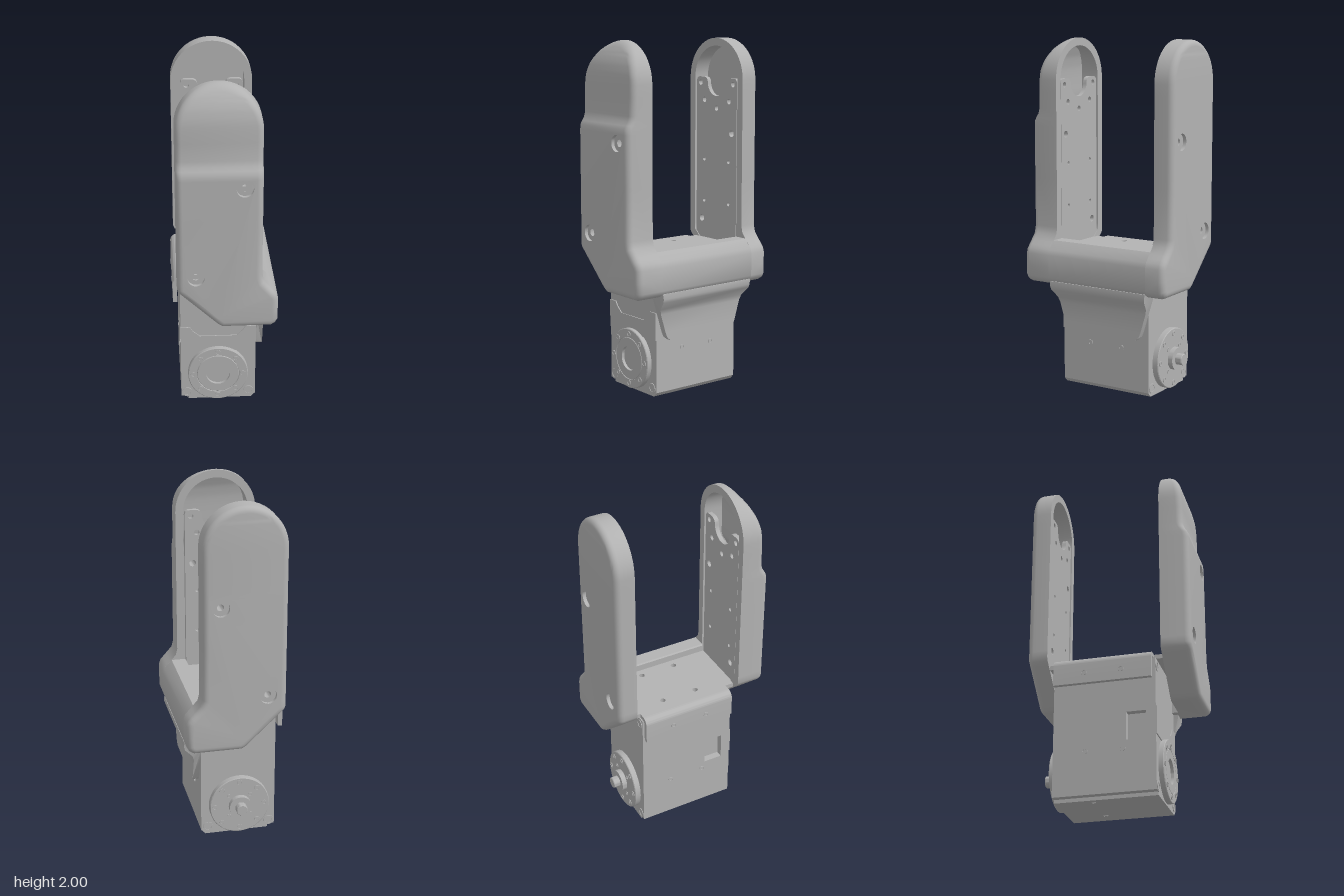
import * as THREE from 'three';
import { toCreasedNormals } from 'three/addons/utils/BufferGeometryUtils.js';

const grey = new THREE.MeshStandardMaterial({ color: 0xb2b2b2, side: THREE.DoubleSide });
grey.name = 'plain grey';

const CX = -0.035, ARC_Y = 1.765, ARC_R = 0.235, AXIS_Y = 0.185;
const SCREWS = [[0.1, 1.45], [-0.165, 0.92]];

function add(parent, name, geo, x = 0, y = 0, z = 0) {
  const mesh = new THREE.Mesh(toCreasedNormals(geo, 0.6), grey);
  mesh.name = name;
  mesh.position.set(x, y, z);
  parent.add(mesh);
  return mesh;
}

// straight-line lookup through [key, value] pairs
function lerpTable(table, k) {
  for (let i = 1; i < table.length; i++) {
    const [a, va] = table[i - 1], [b, vb] = table[i];
    if (k <= b) return va + (vb - va) * Math.max(0, (k - a) / (b - a));
  }
  return table[table.length - 1][1];
}

const polygon = pts => new THREE.Shape(pts.map(p => new THREE.Vector2(...p)));
const circle = (x, y, r, n = 20) => Array.from({ length: n }, (_, i) =>
  new THREE.Vector2(x + r * Math.cos(i / n * 2 * Math.PI), y + r * Math.sin(i / n * 2 * Math.PI)));
const punch = (shape, x, y, r) => shape.holes.push(new THREE.Path(circle(x, y, r)));
const extrude = (shape, depth) => new THREE.ExtrudeGeometry(shape, { depth, bevelEnabled: false, curveSegments: 10 });

// lathe profile [radius, height] pointing along dir
function turned(parent, name, profile, pos, dir, segments = 20) {
  const geo = new THREE.LatheGeometry(profile.map(p => new THREE.Vector2(...p)), segments);
  const mesh = add(parent, name, geo, ...pos);
  mesh.quaternion.setFromUnitVectors(new THREE.Vector3(0, 1, 0), new THREE.Vector3(...dir));
}
const bolt = (parent, pos, dir, r = 0.016) => turned(parent, 'bolt',
  [[r, -0.002], [r, 0.004], [r * 0.65, 0.004], [r * 0.65, 0.001], [0, 0.001]], pos, dir, 16);

// cover outline, as left and right points at the same heights
const LEFT = [[0.6, -0.02], [0.615, -0.045], [0.82, -0.262], [0.84, -0.27]];
const RIGHT = [[0.6, 0.25], [0.615, 0.276], [0.64, 0.29], [0.77, 0.29], [0.8, 0.28], [0.88, 0.21], [0.92, 0.2]];
const ROWS = [0.6, 0.615, 0.64, 0.7, 0.77, 0.8, 0.82, 0.84, 0.88, 0.92, 1.2, 1.5, 1.53, 1.55, 1.57, 1.6, 1.7];
const FLAT_ROW = 11;
for (let i = 0; i <= 12; i++) ROWS.push(ARC_Y + ARC_R * Math.sin(i / 12 * 1.53));
const arcX = y => Math.sqrt(ARC_R ** 2 - (y - ARC_Y) ** 2);
const leftX = y => y > ARC_Y ? CX - arcX(y) : lerpTable(LEFT, y);
const rightX = y => y > ARC_Y ? CX + arcX(y) : lerpTable(RIGHT, y);
const OUTLINE = [...ROWS.map(y => new THREE.Vector2(leftX(y), y)),
  ...ROWS.map(y => new THREE.Vector2(rightX(y), y)).reverse()];

function inset(d) {
  const n = OUTLINE.length;
  return OUTLINE.map((p, i) => {
    const e = p.clone().sub(OUTLINE[(i + n - 1) % n]).normalize();
    const f = OUTLINE[(i + 1) % n].clone().sub(p).normalize();
    const a = new THREE.Vector2(e.y, -e.x), b = new THREE.Vector2(f.y, -f.x);
    const m = a.clone().add(b).normalize();
    return p.clone().addScaledVector(m, d / Math.max(0.6, m.dot(a)));
  });
}

// hollow cover: pocket, rim, wall and rounded outer edge lofted as rings
function cover(parent, name, side, rim, depth, bore) {
  const pos = [], n = OUTLINE.length, R = 0.035;
  const tri = (a, b, c) => (side > 0 ? [a, b, c] : [a, c, b]).forEach(p => pos.push(p.x, p.y, side * p.z));
  const quad = (a, b, c, d) => { tri(a, b, c); tri(b, d, c); };
  const ring = (pts, zOf) => pts.map(p => new THREE.Vector3(p.x, p.y, zOf(p.y)));
  const pocket = inset(0.045).map(p => new THREE.Vector2(Math.min(p.x, 0.155), Math.max(p.y, 0.78)));
  const floorZ = y => Math.max(rim + 0.03, depth(y) - 0.02);
  const rings = [ring(pocket, floorZ), ring(pocket, () => rim), ring(OUTLINE, () => rim)];
  for (let i = 0; i <= 5; i++) {
    const t = i / 5 * Math.PI / 2;
    rings.push(ring(inset(R * (1 - Math.cos(t))), y => depth(y) - R * (1 - Math.sin(t))));
  }
  for (let k = 1; k < rings.length; k++) for (let j = 0; j < n; j++) {
    const A = rings[k - 1], B = rings[k], j1 = (j + 1) % n;
    quad(A[j], B[j], A[j1], B[j1]);
  }
  // end face: flat punched part below, strips following the depth above
  const cap = (pts, holeR, up) => {
    const put = (a, b, c) => {
      const area = (b.x - a.x) * (c.y - a.y) - (b.y - a.y) * (c.x - a.x);
      if ((area > 0) === up) tri(a, b, c); else tri(a, c, b);
    };
    const contour = [...pts.slice(0, FLAT_ROW + 1), ...pts.slice(n - 1 - FLAT_ROW)];
    const holes = SCREWS.map(([x, y]) => circle(x, y, holeR).map(p => new THREE.Vector3(p.x, p.y, pts[0].z)));
    const all = [...contour, ...holes.flat()];
    THREE.ShapeUtils.triangulateShape(contour, holes).forEach(f => put(...f.map(i => all[i])));
    for (let i = FLAT_ROW; i < ROWS.length - 1; i++) {
      const a = pts[i], b = pts[i + 1], c = pts[n - 1 - i], d = pts[n - 2 - i];
      put(a, c, b); put(b, c, d);
    }
  };
  cap(rings[0], 0.02, false);
  cap(rings[rings.length - 1], 0.047, true);
  const geo = new THREE.BufferGeometry();
  geo.setAttribute('position', new THREE.Float32BufferAttribute(pos, 3));
  add(parent, name, geo);
  const top = depth(1);
  SCREWS.forEach(([x, y]) => turned(parent, 'screwRecess',
    [[0.047, 0], [0.047, -bore], [0.02, -bore], [0.02, rim + 0.02 - top]], [x, y, side * top], [0, 0, side]));
}

// upright bracket sheet with notched top
function bracketSheet(parent, z) {
  const s = new THREE.Shape();
  s.moveTo(-0.215, 0.78); s.lineTo(0.145, 0.78); s.lineTo(0.145, 1.74);
  s.quadraticCurveTo(0.145, 1.77, 0.115, 1.77); s.lineTo(0.085, 1.77);
  s.quadraticCurveTo(0.05, 1.77, 0.045, 1.74);
  s.absarc(CX, 1.74, 0.08, 0, Math.PI, true);
  s.quadraticCurveTo(-0.12, 1.77, -0.155, 1.77); s.lineTo(-0.185, 1.77);
  s.quadraticCurveTo(-0.215, 1.77, -0.215, 1.74);
  SCREWS.forEach(([x, y]) => punch(s, x, y, 0.02));
  [-1, 1].forEach(m => {
    punch(s, CX + m * 0.145, 1.735, 0.016);
    punch(s, CX + m * 0.11, 1.635, 0.016);
    punch(s, CX + m * 0.11, 1.28, 0.011);
    punch(s, CX + m * 0.11, 1.03, 0.011);
  });
  punch(s, CX, 1.59, 0.016);
  add(parent, 'bracketSheet', extrude(s, 0.025), 0, 0, z);
}

function bracket(parent) {
  bracketSheet(parent, 0.305);
  bracketSheet(parent, -0.38);
  // base sheet
  const base = polygon([[-0.215, -0.355], [0.15, -0.355], [0.15, 0.305], [-0.215, 0.305],
    [-0.215, 0.25], [-0.25, 0.25], [-0.25, -0.305], [-0.215, -0.305]]);
  for (const x of [-0.165, 0.1]) for (const z of [-0.135, 0.075]) punch(base, x, z, 0.016);
  add(parent, 'bracketBase', extrude(base, 0.025).rotateX(Math.PI / 2), 0, 0.805, 0);
  // bent flap
  const flap = new THREE.Shape();
  flap.moveTo(-0.25, 0.805);
  flap.absarc(-0.25, 0.765, 0.04, Math.PI / 2, Math.PI, false);
  flap.lineTo(-0.29, 0.65); flap.lineTo(-0.265, 0.65); flap.lineTo(-0.265, 0.765);
  flap.absarc(-0.25, 0.765, 0.015, Math.PI, Math.PI / 2, true);
  add(parent, 'bracketFlap', extrude(flap, 0.555), 0, 0, -0.305);
  for (const z of [-0.13, 0.08]) bolt(parent, [-0.29, 0.71, z], [-1, 0, 0]);
  // cross bar joining the covers
  const bar = polygon([[0.148, 0.6], [0.25, 0.6], [0.276, 0.615], [0.29, 0.64], [0.29, 0.77], [0.28, 0.8],
    [0.235, 0.85], [0.155, 0.85], [0.148, 0.843]]);
  add(parent, 'crossBar', extrude(bar, 0.65), 0, 0, -0.35);
  // tapering skirt
  const skirt = polygon([[0.18, 0.62], [0.285, 0.62], [0.287, 0.59], [0.28, 0.57], [0.235, 0.52], [0.226, 0.49],
    [0.226, 0.38], [0.226, 0.35], [0.226, 0.33], [0.188, 0.33], [0.188, 0.35], [0.188, 0.38], [0.188, 0.49], [0.188, 0.57]]);
  const geo = extrude(skirt, 0.64).translate(0, 0, -0.32);
  const p = geo.attributes.position;
  const taper = [[0.33, 0.68], [0.35, 0.76], [0.38, 0.8], [0.57, 0.98], [0.62, 1]];
  for (let i = 0; i < p.count; i++) p.setZ(i, p.getZ(i) * lerpTable(taper, p.getY(i)) - 0.025);
  geo.computeVertexNormals();
  add(parent, 'skirt', geo);
}

function motor(parent) {
  const body = polygon([[-0.21, 0], [0.16, 0], [0.185, 0.025], [0.185, 0.775], [-0.21, 0.775]]);
  add(parent, 'motorBody', extrude(body, 0.575), 0, 0, -0.31);
  // side panel with connector window
  const panel = polygon([[-0.31, 0.02], [0.265, 0.02], [0.265, 0.775], [-0.31, 0.775]]);
  panel.holes.push(new THREE.Path([[0.1, 0.31], [0.21, 0.31], [0.21, 0.47], [0.1, 0.47]].map(q => new THREE.Vector2(...q))));
  add(parent, 'sidePanel', extrude(panel, 0.04).rotateY(-Math.PI / 2), -0.21);
  // front face panels
  const band = polygon([[-0.25, 0.33], [0.185, 0.33], [0.185, 0.49], [0.125, 0.49], [0.11, 0.465], [0.075, 0.43],
    [-0.14, 0.43], [-0.18, 0.465], [-0.195, 0.49], [-0.25, 0.49]]);
  add(parent, 'frontBand', extrude(band, 0.006), 0, 0, 0.265);
  // output discs
  turned(parent, 'frontDisc', [[0.175, 0], [0.175, 0.026], [0.171, 0.03], [0.125, 0.03], [0.123, 0.026], [0.12, 0.03],
    [0.07, 0.03], [0.07, 0.012], [0, 0.012]], [CX, AXIS_Y, 0.265], [0, 0, 1], 48);
  turned(parent, 'backDisc', [[0.175, 0], [0.175, 0.031], [0.171, 0.035], [0.065, 0.035], [0.065, 0.064], [0.033, 0.064],
    [0.033, 0.1], [0.03, 0.104], [0, 0.104]], [CX, AXIS_Y, -0.31], [0, 0, -1], 48);
  for (let i = 0; i < 8; i++) {
    const c = Math.cos(i * Math.PI / 4), s = Math.sin(i * Math.PI / 4);
    bolt(parent, [CX + 0.145 * c, AXIS_Y + 0.145 * s, 0.295], [0, 0, 1]);
    bolt(parent, [CX + 0.145 * c, AXIS_Y + 0.145 * s, -0.345], [0, 0, -1]);
    if (i % 2) bolt(parent, [CX + 0.09 * c, AXIS_Y + 0.09 * s, -0.345], [0, 0, -1], 0.012);
  }
  // corner and side screws
  for (const x of [-0.215, 0.145]) for (const y of [0.045, 0.735]) {
    bolt(parent, [x, y, 0.265], [0, 0, 1], 0.03);
    bolt(parent, [x, y, -0.31], [0, 0, -1], 0.03);
  }
  for (const z of [-0.13, 0.08]) {
    bolt(parent, [0.185, 0.265, z], [1, 0, 0]);
    bolt(parent, [-0.25, 0.265, z], [-1, 0, 0]);
  }
  for (const x of [-0.17, 0.07]) bolt(parent, [x, 0.002, -0.1], [0, -1, 0]);
}

export function createModel() {
  const model = new THREE.Group();
  model.name = 'motorisedGripperFinger';
  const group = name => { const g = new THREE.Group(); g.name = name; model.add(g); return g; };
  const slope = [[1.51, 0.47], [1.53, 0.467], [1.55, 0.456], [1.57, 0.443], [1.6, 0.435], [1.75, 0.433],
    [1.82, 0.428], [1.88, 0.415], [1.94, 0.39], [2, 0.35]];
  const covers = group('covers');
  cover(covers, 'frontCover', 1, 0.3, y => lerpTable(slope, y), 0.08);
  cover(covers, 'backCover', -1, 0.35, () => 0.467, 0.025);
  bracket(group('bracket'));
  motor(group('motor'));
  return model;
}
